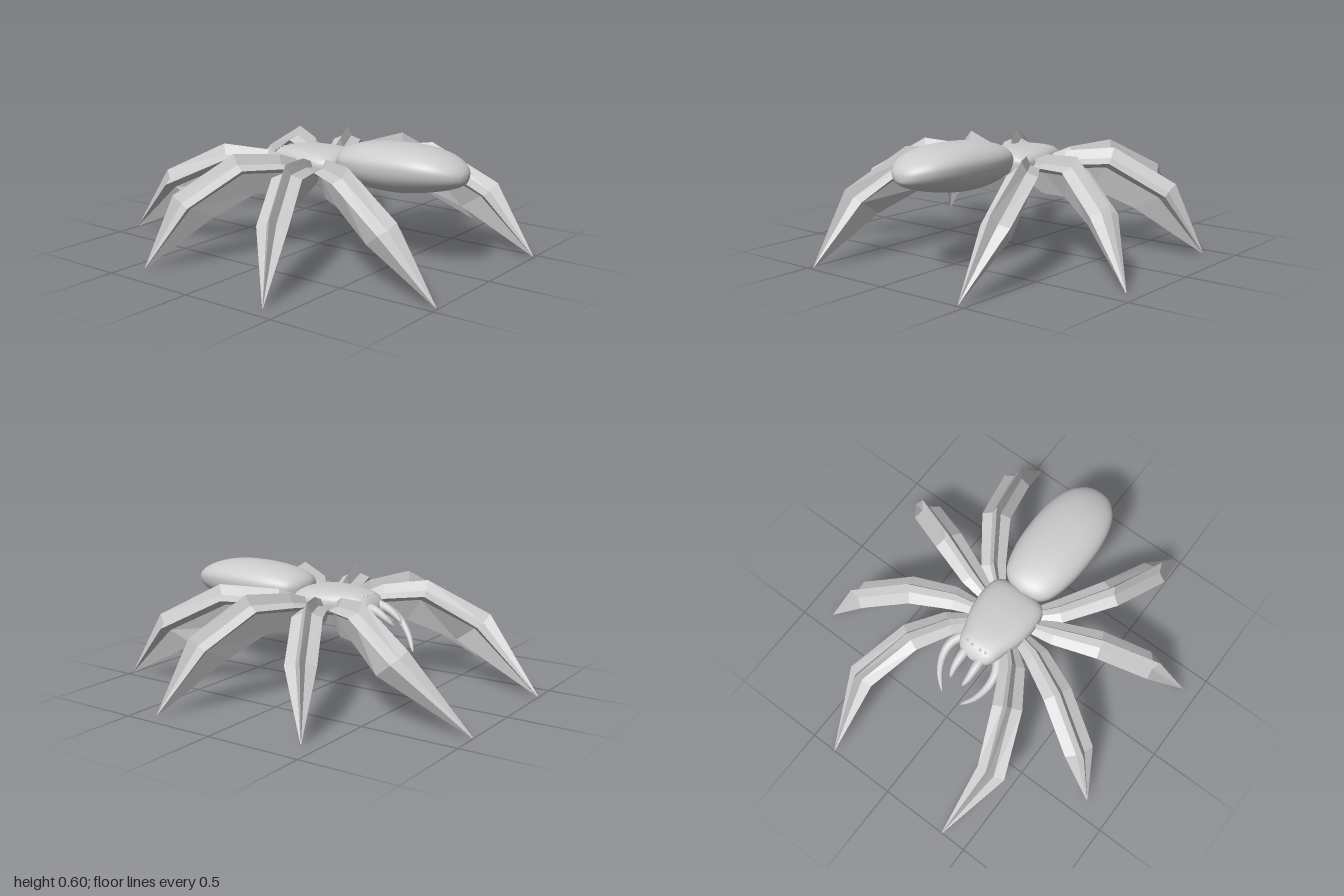
import * as THREE from 'three';

const smooth = new THREE.MeshStandardMaterial({ color: 0xcccccc });
const faceted = new THREE.MeshStandardMaterial({ color: 0xcccccc, flatShading: true });
const V = (p) => new THREE.Vector3(...p);

// Skin a list of rings (equal point counts, counter-clockwise about the direction of travel)
function skin(rings) {
  const n = rings[0].length, pos = [], idx = [];
  rings.forEach((r) => r.forEach((p) => pos.push(p.x, p.y, p.z)));
  for (let i = 0; i < rings.length - 1; i++) {
    for (let j = 0; j < n; j++) {
      const a = i * n + j, b = i * n + (j + 1) % n;
      idx.push(a, b, b + n, a, b + n, a + n);
    }
  }
  // End caps
  [0, rings.length - 1].forEach((i, end) => {
    const c = new THREE.Vector3();
    rings[i].forEach((p) => c.addScaledVector(p, 1 / n));
    const k = pos.length / 3;
    pos.push(c.x, c.y, c.z);
    for (let j = 0; j < n; j++) {
      const a = i * n + j, b = i * n + (j + 1) % n;
      if (end) idx.push(a, b, k); else idx.push(b, a, k);
    }
  });
  const g = new THREE.BufferGeometry();
  g.setAttribute('position', new THREE.Float32BufferAttribute(pos, 3));
  g.setIndex(idx);
  g.computeVertexNormals();
  return g;
}

// Sweep a cross-section along a tapering path; the section lists [radius, lean along the path]
function sweep(points, sizes, section) {
  const n = section.length, up0 = new THREE.Vector3(0, 1, 0);
  return skin(points.map((p, i) => {
    const t = new THREE.Vector3();
    if (i > 0) t.add(p.clone().sub(points[i - 1]).normalize());
    if (i < points.length - 1) t.add(points[i + 1].clone().sub(p).normalize());
    t.normalize();
    const side = up0.clone().cross(t).normalize(), up = t.clone().cross(side);
    return section.map(([r, lean], j) => {
      const a = (j / n) * Math.PI * 2;
      return p.clone().addScaledVector(side, Math.cos(a) * r * sizes[i])
        .addScaledVector(up, Math.sin(a) * r * sizes[i])
        .addScaledVector(t, lean * sizes[i]);
    });
  }));
}

// Body from stations along z: [z, bottom, top, half width], smoothed along the length
function body(stations, power, waist) {
  const at = (cols) => new THREE.CatmullRomCurve3(stations.map((s) => V(cols.map((c) => s[c]))));
  const heights = at([0, 1, 2]), widths = at([0, 3, 3]);
  const rings = [], steps = (stations.length - 1) * 4, n = 40;
  const se = (v) => Math.sign(v) * Math.abs(v) ** power;
  for (let i = 0; i <= steps; i++) {
    const h = heights.getPoint(i / steps), w = Math.max(widths.getPoint(i / steps).y, 0.002);
    const mid = h.y + (h.z - h.y) * waist;
    rings.push(Array.from({ length: n }, (_, j) => {
      const a = (j / n) * Math.PI * 2, s = se(Math.sin(a));
      return new THREE.Vector3(w * se(Math.cos(a)), mid + s * (s > 0 ? h.z - mid : mid - h.y), h.x);
    }));
  }
  return skin(rings);
}

export function createModel() {
  const model = new THREE.Group();
  const add = (name, geo, mat, parent = model) => {
    const m = new THREE.Mesh(geo, mat);
    m.name = name;
    parent.add(m);
    return m;
  };

  add('abdomen', body([
    [0.15, 0.46, 0.5, 0.01], [0.165, 0.42, 0.53, 0.08], [0.21, 0.39, 0.56, 0.135],
    [0.33, 0.365, 0.588, 0.173], [0.5, 0.36, 0.6, 0.186], [0.65, 0.38, 0.593, 0.175],
    [0.76, 0.405, 0.567, 0.14], [0.83, 0.43, 0.53, 0.085], [0.855, 0.45, 0.5, 0.04],
    [0.86, 0.47, 0.48, 0.002],
  ], 0.94, 0.6), smooth);

  add('cephalothorax', body([
    [-0.27, 0.43, 0.445, 0.01], [-0.255, 0.41, 0.47, 0.075], [-0.22, 0.395, 0.5, 0.105],
    [-0.16, 0.385, 0.515, 0.125], [-0.06, 0.38, 0.522, 0.157], [0.04, 0.38, 0.522, 0.167],
    [0.13, 0.39, 0.51, 0.155], [0.165, 0.41, 0.49, 0.12], [0.175, 0.44, 0.46, 0.01],
  ], 0.75, 0.5), smooth);

  // Leg centre lines: body joint, thigh, upper knee, lower knee, tip
  const legs = {
    firstLeg: [[0.08, 0.42, -0.06], [0.2, 0.45, -0.19], [0.305, 0.465, -0.37], [0.415, 0.315, -0.65], [0.36, 0.005, -1]],
    secondLeg: [[0.08, 0.42, -0.01], [0.26, 0.45, -0.065], [0.46, 0.465, -0.165], [0.7, 0.305, -0.3], [0.86, 0.005, -0.415]],
    thirdLeg: [[0.08, 0.42, 0.04], [0.26, 0.45, 0.09], [0.48, 0.465, 0.17], [0.725, 0.305, 0.285], [0.92, 0.0, 0.39]],
    fourthLeg: [[0.08, 0.42, 0.08], [0.21, 0.45, 0.2], [0.365, 0.465, 0.43], [0.455, 0.295, 0.735], [0.465, 0.005, 0.995]],
  };
  // Four fins with creases between them; the lower fin is deeper and swept back
  const fins = [[1, 0], [0.42, 0], [1, 0], [0.42, 0], [1, 0], [0.55, -0.2], [2.1, -0.8], [0.55, -0.2]];
  const round = new Array(14).fill([1, 0]);

  for (const [s, sideName] of [[1, 'left'], [-1, 'right']]) {
    const side = new THREE.Group();
    side.name = sideName + 'Limbs';
    model.add(side);
    const flip = (pts) => pts.map(([x, y, z]) => new THREE.Vector3(x * s, y, z));

    for (const [name, pts] of Object.entries(legs)) {
      add(name, sweep(flip(pts), [0.03, 0.064, 0.075, 0.075, 0.002], fins), faceted, side);
    }

    // Tapering horn along a smooth curve
    const horn = (name, pts, radius) => {
      const path = new THREE.CatmullRomCurve3(flip(pts)).getPoints(16);
      add(name, sweep(path, path.map((_, i) => 0.002 + radius * Math.sqrt(1 - i / 16)), round), smooth, side);
    };
    // Feeler hooking forward, inward and down
    horn('feeler', [
      [0.1, 0.42, -0.17], [0.138, 0.4, -0.24], [0.143, 0.36, -0.31], [0.115, 0.29, -0.385], [0.06, 0.22, -0.445],
    ], 0.027);
    horn('fang', [
      [0.045, 0.445, -0.21], [0.047, 0.43, -0.29], [0.046, 0.4, -0.345], [0.038, 0.365, -0.39],
    ], 0.027);

    // Row of small eyes across the brow
    [[0.025, 0.495, -0.22], [0.054, 0.493, -0.215], [0.078, 0.486, -0.205]].forEach(([x, y, z]) => {
      add('eye', new THREE.SphereGeometry(0.009, 12, 8), smooth, side).position.set(x * s, y, z);
    });
  }
  return model;
}
